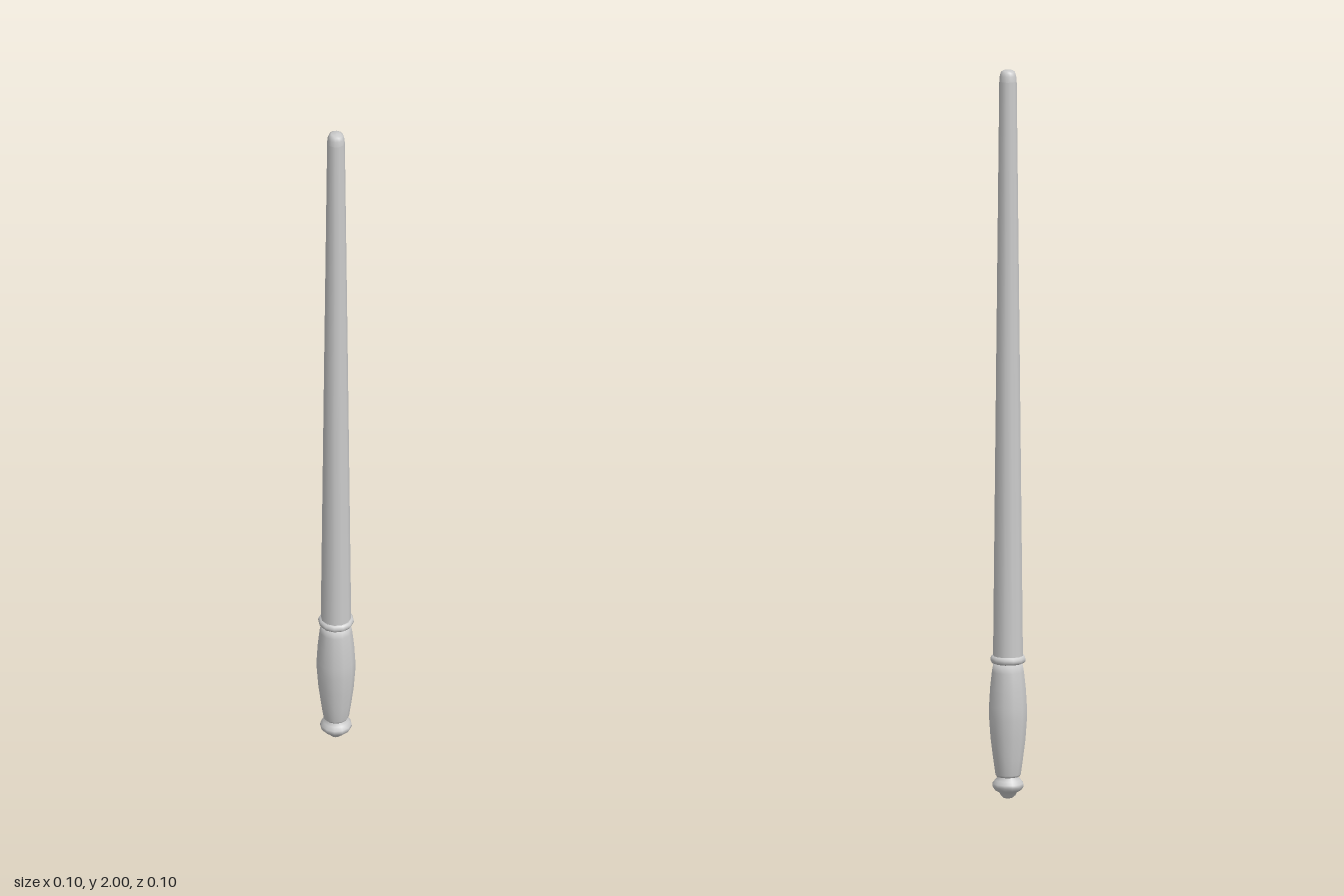
import * as THREE from 'three';

const SIDES = 12;

// Turn a profile of [radius, height] points around the y axis.
function turned(name, profile) {
  const points = profile.map(([r, y]) => new THREE.Vector2(r, y));
  const mesh = new THREE.Mesh(
    new THREE.LatheGeometry(points, SIDES),
    new THREE.MeshStandardMaterial({ color: 0xcccccc })
  );
  mesh.name = name;
  return mesh;
}

export function createModel() {
  const group = new THREE.Group();
  group.name = 'wand';

  // Rounded end knob with a small button beneath it
  group.add(turned('pommel', [
    [0, 0], [0.012, 0.003], [0.02, 0.01], [0.024, 0.018], [0.036, 0.025],
    [0.043, 0.035], [0.042, 0.043], [0.035, 0.052], [0.028, 0.06], [0.028, 0.066]
  ]));

  // Swelling grip
  group.add(turned('handle', [
    [0, 0.062], [0.031, 0.062], [0.035, 0.068], [0.041, 0.11], [0.048, 0.165],
    [0.052, 0.22], [0.052, 0.255], [0.049, 0.305], [0.044, 0.35], [0.039, 0.377], [0, 0.377]
  ]));

  // Thin collar between grip and shaft
  group.add(turned('collar', [
    [0.038, 0.372], [0.045, 0.375], [0.048, 0.38], [0.048, 0.386],
    [0.045, 0.392], [0.038, 0.395]
  ]));

  // Long tapering shaft
  group.add(turned('shaft', [[0.041, 0.375], [0.041, 0.4], [0.0325, 1.2], [0.024, 1.97]]));

  // Rounded tip
  group.add(turned('tip', [
    [0.024, 1.97], [0.0225, 1.985], [0.019, 1.995], [0.013, 1.999], [0, 2]
  ]));

  return group;
}
